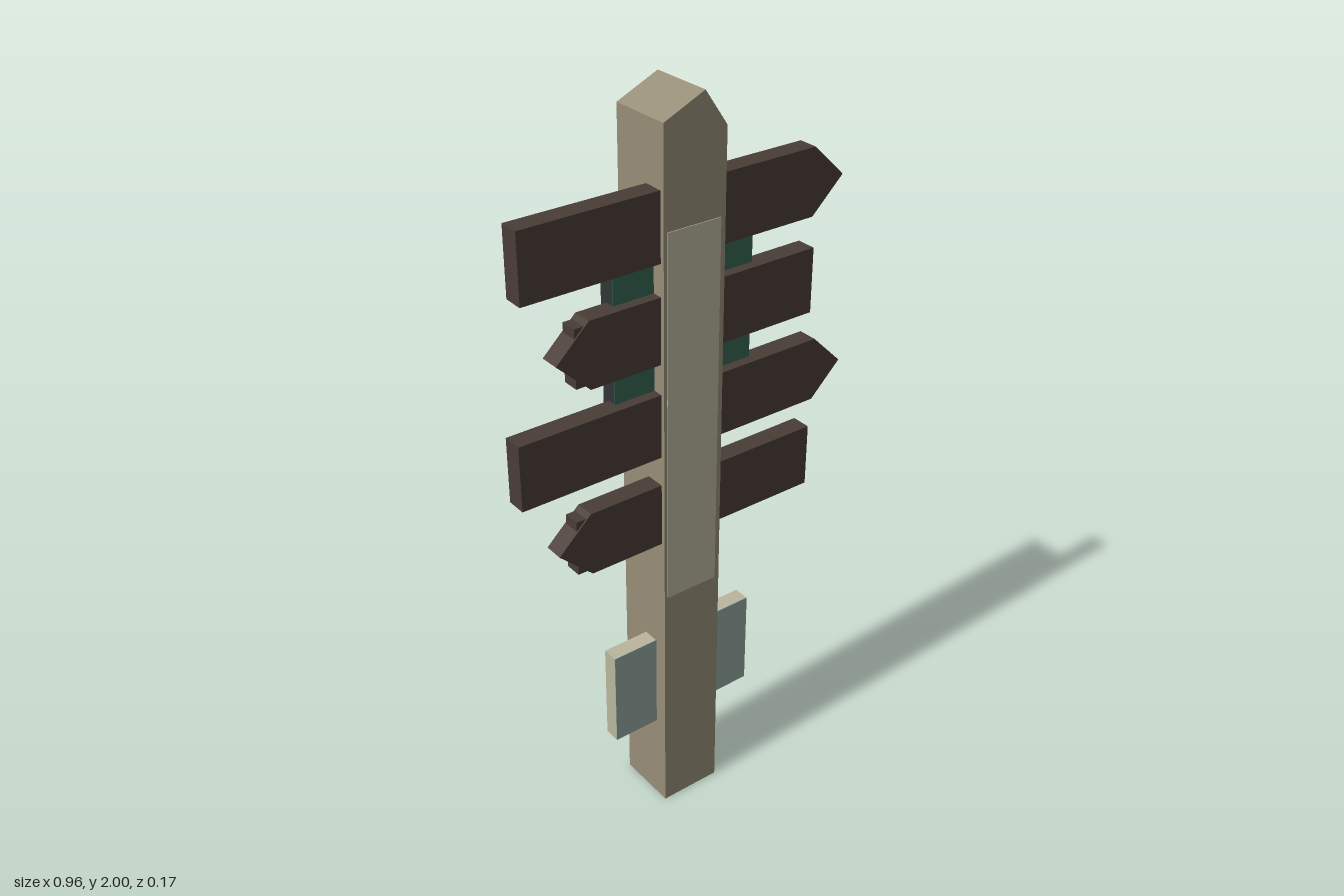
import * as THREE from 'three';

const mat = (name, color) => {
  const m = new THREE.MeshStandardMaterial({ color });
  m.name = name;
  return m;
};

export function createModel() {
  const root = new THREE.Group();
  root.name = 'signpost';

  const postWood = mat('post wood', 0x978e78);
  const signWood = mat('dark sign wood', 0x493c36);
  const cream = mat('cream', 0xbab69e);
  const green = mat('green face', 0x376453);
  const slate = mat('slate', 0x323537);
  const paleBlue = mat('pale blue face', 0x92a6a1);
  const black = mat('black', 0x1c1a19);

  const add = (name, geometry, material) => {
    const mesh = new THREE.Mesh(geometry, material);
    mesh.name = name;
    root.add(mesh);
    return mesh;
  };
  // Box given by its limits on each axis
  const box = (name, material, x0, x1, y0, y1, z0, z1) => {
    const mesh = add(name, new THREE.BoxGeometry(x1 - x0, y1 - y0, z1 - z0), material);
    mesh.position.set((x0 + x1) / 2, (y0 + y1) / 2, (z0 + z1) / 2);
  };
  // Outline in x and y, extruded from z0 to z1
  const slab = (name, material, points, z0, z1) => {
    const shape = new THREE.Shape(points.map(([x, y]) => new THREE.Vector2(x, y)));
    const geometry = new THREE.ExtrudeGeometry(shape, { depth: z1 - z0, bevelEnabled: false });
    add(name, geometry.translate(0, 0, z0), material);
  };

  // Post with an uneven pointed top, front strip and socket underneath
  slab('post', postWood,
    [[-0.087, 0], [0.087, 0], [0.087, 1.91], [0.025, 2], [-0.087, 1.95]], -0.086, 0.085);
  box('frontStrip', cream, -0.078, 0.073, 0.7, 1.7, 0.083, 0.087);
  box('baseSocket', black, -0.025, 0.025, -0.001, 0.003, -0.025, 0.025);

  // Arrow boards: [tail x, shoulder x, tip x, bottom y, top y]
  const arrows = [
    [-0.455, 0.36, 0.45, 1.624, 1.797],
    [0.37, -0.283, -0.373, 1.37, 1.542],
    [-0.48, 0.39, 0.477, 1.118, 1.29],
    [0.384, -0.295, -0.387, 0.865, 1.038],
  ];
  arrows.forEach(([tail, shoulder, tip, y0, y1], i) => {
    const points = [[tail, y0], [shoulder, y0], [tip, (y0 + y1) / 2], [shoulder, y1], [tail, y1]];
    slab('arrowBoard' + (i + 1), signWood, tip > 0 ? points : points.reverse(), 0.021, 0.074);
    // Left-pointing boards have a square block behind the point
    if (tip < 0) {
      box('arrowBlock' + (i + 1), signWood, tip + 0.053, shoulder + 0.06,
        y0 + 0.011, y1 - 0.011, 0.025, 0.07);
    }
  });

  // Green notice board and pale lower plaque, each with a thin coloured face
  box('noticeBoard', slate, -0.2, 0.2, 1.19, 1.615, 0, 0.045);
  box('noticeFace', green, -0.2, 0.2, 1.19, 1.615, 0.045, 0.047);
  box('lowerPlaque', cream, -0.219, 0.219, 0.264, 0.541, 0.002, 0.045);
  box('plaqueFace', paleBlue, -0.219, 0.219, 0.264, 0.541, 0.045, 0.047);

  return root;
}
